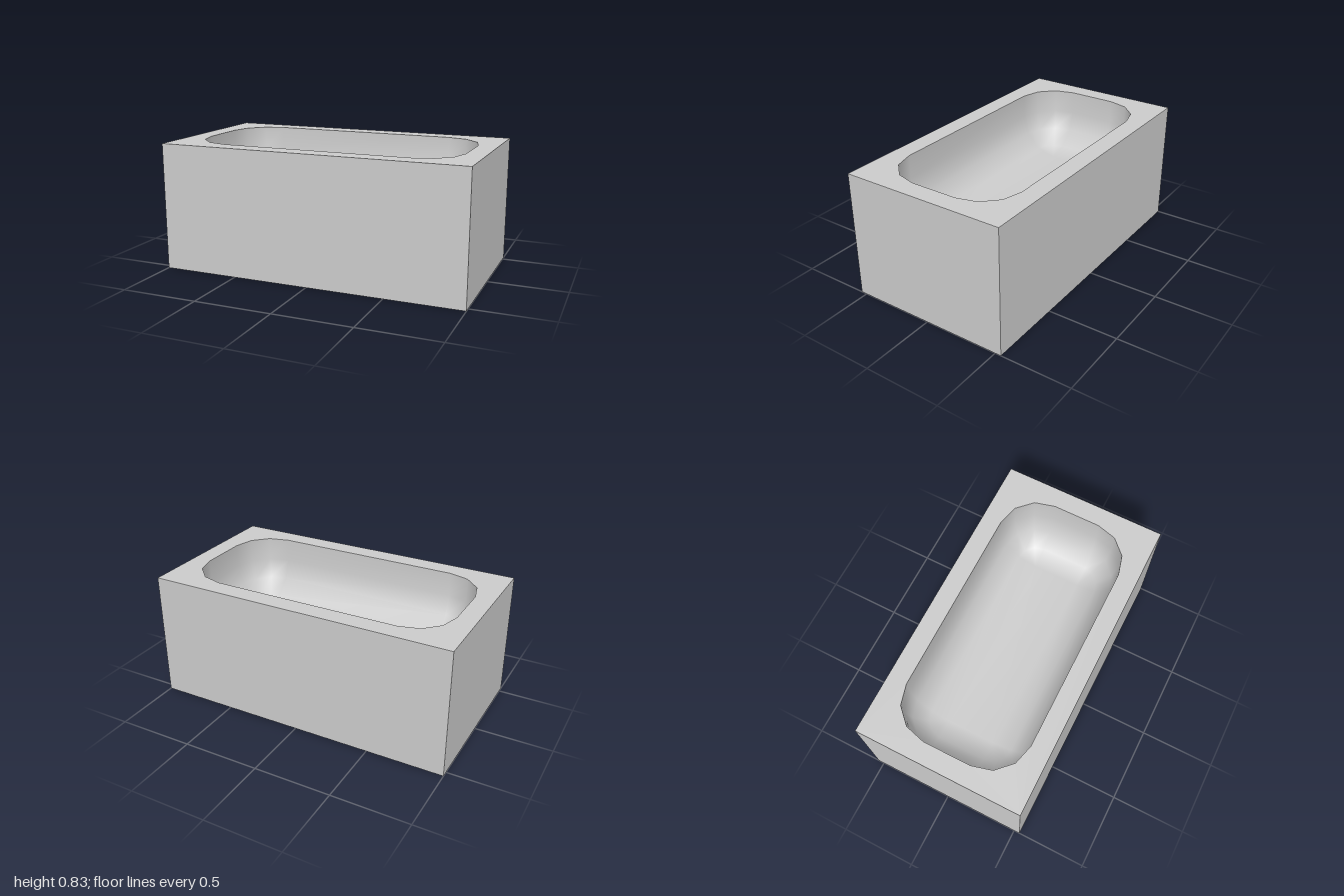
import * as THREE from 'three';
import { mergeVertices } from 'three/addons/utils/BufferGeometryUtils.js';

const W = 2, H = 0.83, D = 1.08;           // outer block
const FX = 0.615, FZ = 0.155, R = 0.26;    // flat floor half sizes and rounding radius
const DEPTH = 0.415, SEG = 3;              // basin depth, segments per rounded corner

// Rounded rectangle outline as [x, z] pairs, four corners of SEG segments
function outline(r) {
  const pts = [];
  [[1, 1], [-1, 1], [-1, -1], [1, -1]].forEach(([sx, sz], q) => {
    for (let i = 0; i <= SEG; i++) {
      const a = (q + i / SEG) * Math.PI / 2;
      pts.push([sx * FX + r * Math.cos(a), sz * FZ + r * Math.sin(a)]);
    }
  });
  return pts;
}

// Basin: straight upper wall, then a quarter round down to a flat floor
function basinGeometry() {
  const rings = [[R, H]];
  for (let i = 0; i <= SEG; i++) {
    const a = (i / SEG) * Math.PI / 2;
    rings.push([R * Math.cos(a), H - DEPTH + R * (1 - Math.sin(a))]);
  }
  const pos = [], idx = [], n = 4 * (SEG + 1);
  rings.forEach(([r, y]) => outline(r).forEach(([x, z]) => pos.push(x, y, z)));
  for (let i = 0; i < rings.length - 1; i++) {
    for (let j = 0; j < n; j++) {
      const a = i * n + j, b = i * n + (j + 1) % n;
      idx.push(a, a + n, b, b, a + n, b + n);
    }
  }
  // floor
  const f = [0, 1, 2, 3].map(q => (rings.length - 1) * n + q * (SEG + 1));
  idx.push(f[0], f[3], f[1], f[1], f[3], f[2]);
  let g = new THREE.BufferGeometry();
  g.setAttribute('position', new THREE.Float32BufferAttribute(pos, 3));
  g.setIndex(idx);
  g = mergeVertices(g, 1e-4);
  g.computeVertexNormals();
  return g;
}

export function createModel() {
  const group = new THREE.Group();
  group.name = 'bathtub';
  const material = new THREE.MeshStandardMaterial({ color: 0xcccccc });
  const add = (name, geometry) => {
    const mesh = new THREE.Mesh(geometry, material);
    mesh.name = name;
    group.add(mesh);
  };

  // Outer block without its top face
  const block = new THREE.BoxGeometry(W, H, D).translate(0, H / 2, 0);
  const index = Array.from(block.index.array);
  index.splice(12, 6);
  block.setIndex(index);
  block.clearGroups();
  add('outerBody', block);

  // Flat rim around the opening
  const shape = new THREE.Shape([[-1, -1], [1, -1], [1, 1], [-1, 1]]
    .map(([x, z]) => new THREE.Vector2(x * W / 2, z * D / 2)));
  shape.holes.push(new THREE.Path(outline(R).map(([x, z]) => new THREE.Vector2(x, z))));
  add('rim', new THREE.ShapeGeometry(shape).rotateX(-Math.PI / 2).translate(0, H, 0));

  add('basin', basinGeometry());
  return group;
}
